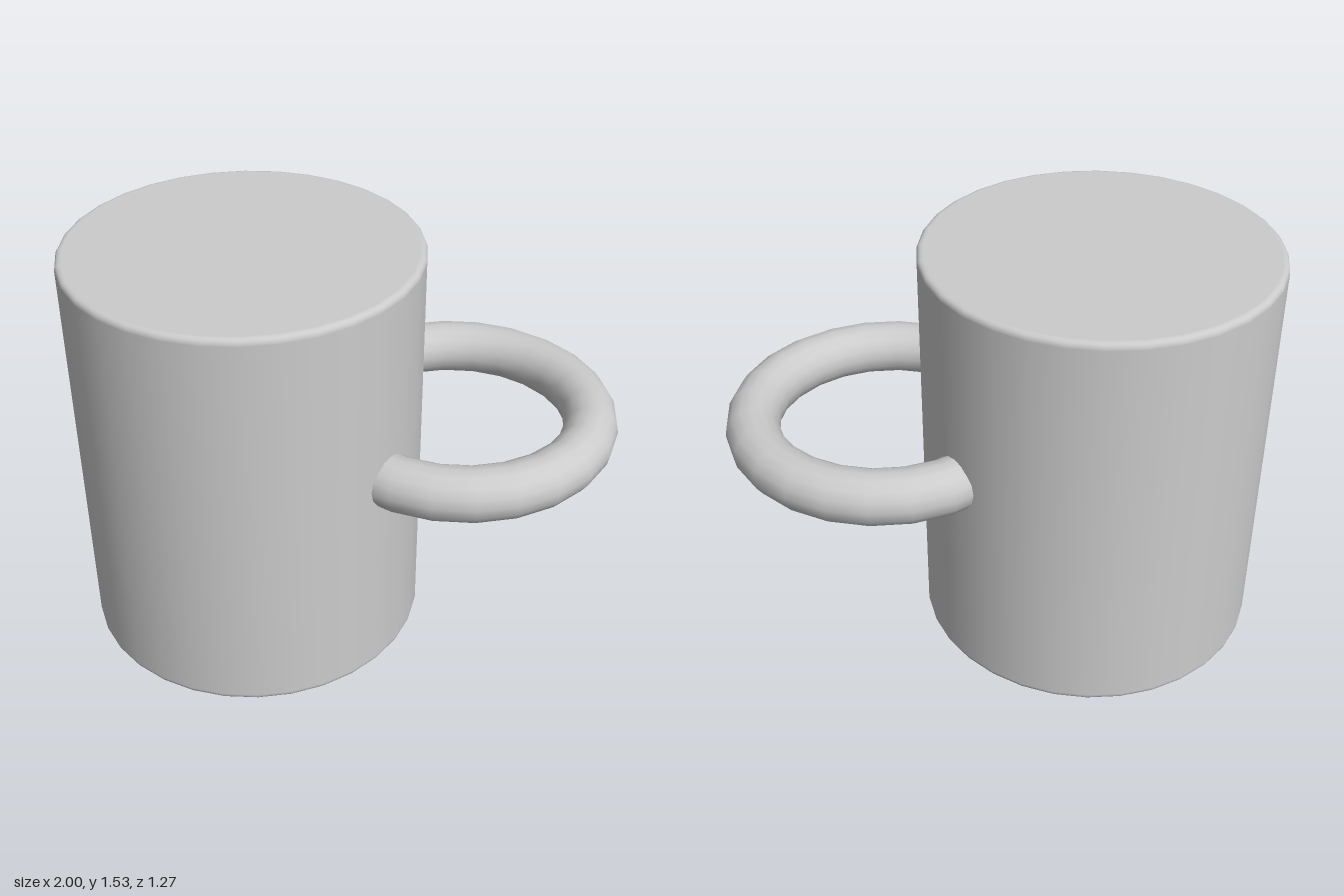
import * as THREE from 'three';

const RADIUS = 0.635, HEIGHT = 1.535, BEVEL = 0.02;

// Closed profile with rounded rims; extra points beside each rim keep the shading flat on wall and caps
function bodyProfile() {
  const points = [new THREE.Vector2(0, 0), new THREE.Vector2(RADIUS - BEVEL - 0.004, 0)];
  const arc = (cy, start) => {
    for (let i = 0; i <= 4; i++) {
      const a = start + (i / 4) * Math.PI / 2;
      points.push(new THREE.Vector2(RADIUS - BEVEL + BEVEL * Math.cos(a), cy + BEVEL * Math.sin(a)));
    }
  };
  arc(BEVEL, -Math.PI / 2);
  points.push(new THREE.Vector2(RADIUS, BEVEL + 0.004));
  points.push(new THREE.Vector2(RADIUS, HEIGHT - BEVEL - 0.004));
  arc(HEIGHT - BEVEL, 0);
  points.push(new THREE.Vector2(RADIUS - BEVEL - 0.004, HEIGHT), new THREE.Vector2(0, HEIGHT));
  return points;
}

export function createModel() {
  const model = new THREE.Group();
  model.name = 'mug';
  const material = new THREE.MeshStandardMaterial({ color: 0xcccccc });

  // Solid cylindrical body
  const body = new THREE.Mesh(new THREE.LatheGeometry(bodyProfile(), 32), material);
  body.name = 'body';
  body.position.x = -0.365;

  // Horizontal ring handle, sunk into the body
  const handle = new THREE.Mesh(new THREE.TorusGeometry(0.494, 0.1, 16, 24), material);
  handle.name = 'handle';
  handle.rotation.x = Math.PI / 2;
  handle.position.set(0.406, 0.815, 0);

  model.add(body, handle);
  return model;
}
